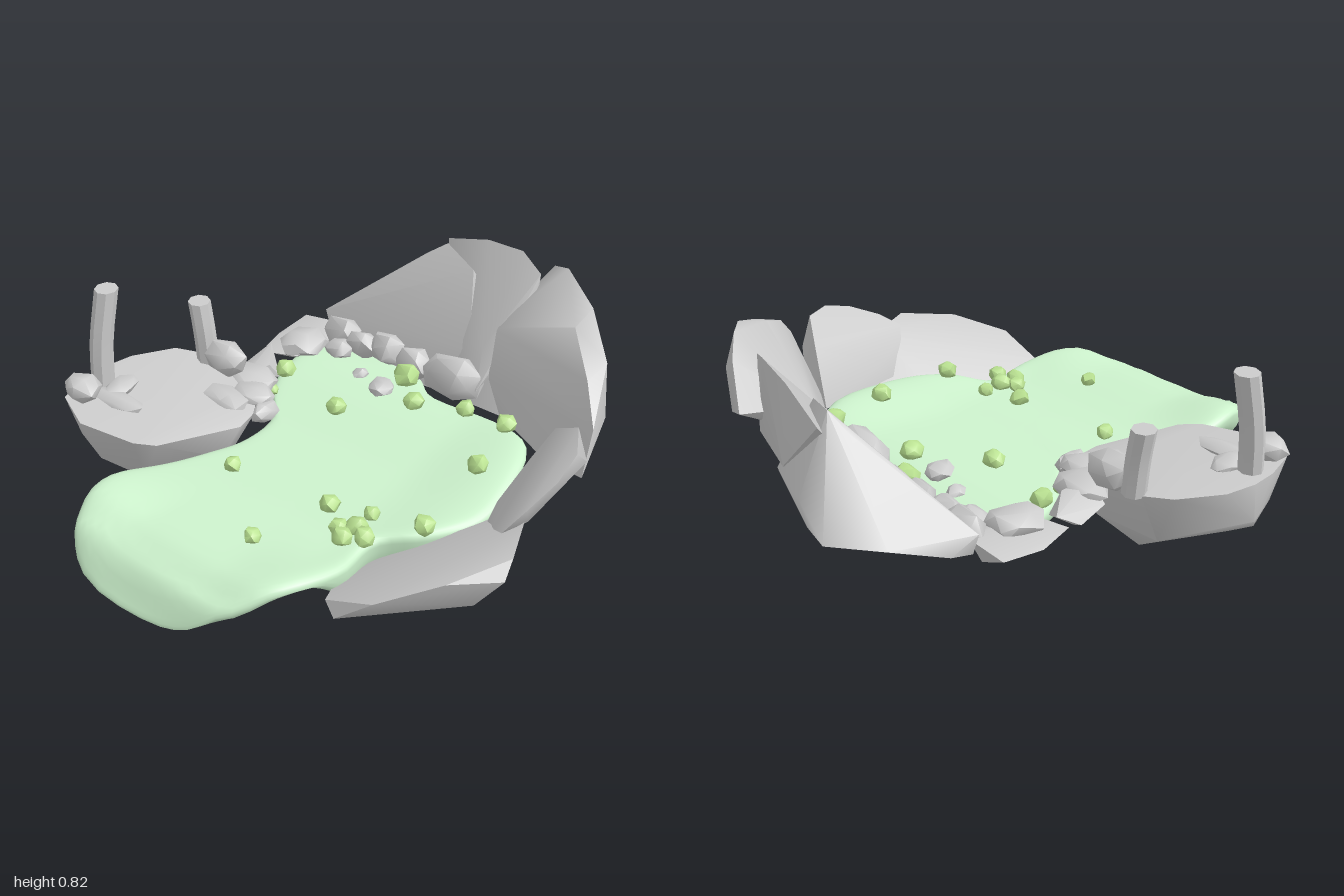
import * as THREE from 'three';
import { toCreasedNormals } from 'three/addons/utils/BufferGeometryUtils.js';
import { ConvexGeometry } from 'three/addons/geometries/ConvexGeometry.js';

const V = (p) => new THREE.Vector3(...p);
const stone = new THREE.MeshStandardMaterial({ color: 0xcccccc });
const slime = new THREE.MeshStandardMaterial({ color: 0xcdf2cd });
const bubble = new THREE.MeshStandardMaterial({ color: 0xbbe392 });

let seed = 7;
const rand = () => (seed = (seed * 16807) % 2147483647) / 2147483647;
const smooth = THREE.MathUtils.smoothstep;

// smooth interpolation through [position, value] pairs
function ramp(keys, t) {
  for (let i = 1; i < keys.length; i++) {
    const [a, va] = keys[i - 1], [b, vb] = keys[i];
    if (t <= b) return va + (vb - va) * smooth(t, a, b);
  }
  return keys[keys.length - 1][1];
}

function add(group, name, geometry, material) {
  const mesh = new THREE.Mesh(geometry, material);
  mesh.name = name;
  group.add(mesh);
  return mesh;
}

// large boulder: hull of its corner points
function boulder(group, name, corners) {
  add(group, name, toCreasedNormals(new ConvexGeometry(corners.map(V)), 0.85), stone);
}

// small rounded stone: hull of jittered sphere points
function pebble(group, name, [x, y, z], [sx, sy, sz], material = stone) {
  const pts = [];
  for (let i = 0; i < 18; i++) {
    const h = 1 - (2 * (i + 0.5)) / 18, a = i * 2.4 + rand() * 0.5;
    const r = Math.sqrt(1 - h * h), k = 0.96 + rand() * 0.2;
    pts.push(new THREE.Vector3(Math.cos(a) * r * sx * k, h * sy * k, Math.sin(a) * r * sz * k));
  }
  const mesh = add(group, name, toCreasedNormals(new ConvexGeometry(pts), 0.9), material);
  mesh.position.set(x, y, z);
}

// pool heights: top skin, shallow underside and the deep belly
const topKeys = [[-0.6, 0.28], [-0.3, 0.3], [0.1, 0.26], [0.4, 0.255], [0.78, 0.285], [0.9, 0.245], [1, 0.14]];
const shallowKeys = [[-0.5, 0.23], [-0.1, 0.17], [0.3, 0.17], [0.6, 0.21], [0.68, 0.19], [0.88, 0.08], [1, 0.08]];
const deepKeys = [[-0.55, 0.24], [-0.25, 0.16], [0.1, 0.045], [0.4, 0.07]];
function poolTop(x, z) {
  const tongue = smooth(z, 0.45, 0.75);
  return ramp(topKeys, z) + tongue * (0.04 * smooth(-x, 0.2, 0.5) + 0.03 * smooth(x, 0.1, 0.4))
    + 0.03 * smooth(x, 0.3, 0.6) * (1 - tongue);
}
function poolLow(x, z) {
  const belly = smooth(x + z, -0.3, -0.1) * smooth(x - z, -0.28, -0.08);
  const shallow = ramp(shallowKeys, z) + 0.09 * smooth(x, 0, 0.35) * smooth(z, 0.55, 0.75);
  const deep = ramp(deepKeys, z) + 0.08 * smooth(x, 0.45, 0.65);
  return Math.min(THREE.MathUtils.lerp(shallow, deep, belly), poolTop(x, z) - 0.05);
}

// closed, rounded-edge sheet swept from rings scaled about a centre
function poolGeometry() {
  const outline = new THREE.CatmullRomCurve3([
    [-0.45, -0.46], [-0.22, -0.57], [0, -0.54], [0.12, -0.45], [0.4, -0.45], [0.6, -0.36], [0.68, -0.05], [0.66, 0.1],
    [0.56, 0.25], [0.43, 0.36], [0.43, 0.55], [0.36, 0.75], [0.2, 0.92], [0, 0.99], [-0.38, 0.975],
    [-0.47, 0.88], [-0.51, 0.7], [-0.47, 0.53], [-0.38, 0.35], [-0.31, 0.2], [-0.31, 0.02],
    [-0.42, -0.12], [-0.47, -0.28]].map(([x, z]) => new THREE.Vector3(x, 0, z)), true);
  const N = 96, R = 18, pos = [], index = [];
  const ring = outline.getPoints(N), cx = 0.05, cz = 0.25;
  for (let r = 0; r <= 2 * R; r++) {
    const s = Math.sin((r / (2 * R)) * Math.PI), upper = r <= R;
    for (let i = 0; i < N; i++) {
      const x = cx + (ring[i].x - cx) * s, z = cz + (ring[i].z - cz) * s;
      const mid = poolTop(x, z) - 0.035;
      const round = Math.sqrt(Math.max(0, 1 - Math.pow(s, upper ? 24 : 8)));
      pos.push(x, mid + ((upper ? poolTop(x, z) : poolLow(x, z)) - mid) * round, z);
    }
  }
  for (let r = 0; r < 2 * R; r++) for (let i = 0; i < N; i++) {
    const a = r * N + i, b = r * N + ((i + 1) % N), c = a + N, d = b + N;
    index.push(a, b, c, b, d, c);
  }
  const g = new THREE.BufferGeometry();
  g.setAttribute('position', new THREE.Float32BufferAttribute(pos, 3));
  g.setIndex(index);
  g.computeVertexNormals();
  return g;
}

// slightly bent, faceted stem with flat ends
function stem(group, name, pts, radius) {
  const path = new THREE.CatmullRomCurve3(pts.map(V));
  const g = new THREE.CylinderGeometry(radius, radius, 1, 8, 6).toNonIndexed();
  const p = g.attributes.position;
  for (let i = 0; i < p.count; i++) {
    const c = path.getPoint(THREE.MathUtils.clamp(p.getY(i) + 0.5, 0, 1));
    p.setXYZ(i, c.x + p.getX(i), c.y, c.z + p.getZ(i));
  }
  add(group, name, toCreasedNormals(g, 0.4), stone);
}

export function createModel() {
  const model = new THREE.Group();
  model.name = 'slimePool';
  add(model, 'pool', poolGeometry(), slime);

  // large boulders around the rim
  boulder(model, 'platformRock', [
    [-0.93, 0.38, 0.3], [-0.9, 0.38, 0.18], [-0.8, 0.38, 0.03], [-0.7, 0.37, -0.02], [-0.42, 0.34, 0], [-0.32, 0.32, 0.1],
    [-0.31, 0.31, 0.2], [-0.45, 0.34, 0.5], [-0.52, 0.35, 0.55], [-0.74, 0.37, 0.6], [-0.9, 0.38, 0.53], [-0.93, 0.38, 0.4],
    [-0.93, 0.22, 0.32], [-0.88, 0.14, 0.4], [-0.78, 0.07, 0.4], [-0.55, 0, 0.18], [-0.5, 0.01, 0.25], [-0.62, 0.05, 0.42],
    [-0.4, 0.09, 0.22], [-0.72, 0.16, 0.06], [-0.45, 0.15, 0.05], [-0.7, 0.2, 0.56], [-0.34, 0.2, 0.28], [-0.87, 0.2, 0.5]]);
  boulder(model, 'frontSlab', [
    [0.92, 0.42, 0.3], [0.85, 0.41, 0.1], [0.8, 0.39, 0.5], [0.63, 0.32, 0.65], [0.45, 0.24, 0.66], [0.33, 0.11, 0.4],
    [0.64, 0.21, -0.04], [0.4, 0.12, 0.2], [0.93, 0.37, 0.36], [0.85, 0.25, 0.4], [0.6, 0.14, 0.45], [0.5, 0.2, 0.68],
    [0.33, 0.09, 0.3], [0.6, 0.11, 0.2], [0.77, 0.27, -0.07]]);
  boulder(model, 'sideRock', [
    [0.91, 0.58, -0.1], [0.85, 0.59, -0.22], [0.91, 0.54, 0.02], [0.87, 0.48, 0.14], [0.83, 0.42, 0.22], [0.78, 0.38, 0.18],
    [0.7, 0.35, 0.02], [0.64, 0.29, -0.32], [0.74, 0.5, -0.28], [0.69, 0.28, 0.06], [0.89, 0.45, -0.24], [0.86, 0.4, 0.1],
    [0.8, 0.32, -0.3]]);
  boulder(model, 'cornerRock', [
    [0.48, 0.82, -0.78], [0.39, 0.77, -0.85], [0.3, 0.62, -0.9], [0.27, 0.56, -0.62], [0.65, 0.77, -0.66], [0.8, 0.68, -0.5],
    [0.64, 0.74, -0.55], [0.78, 0.65, -0.4], [0.87, 0.54, -0.3], [0.88, 0.37, -0.24], [0.7, 0.33, -0.3], [0.42, 0.31, -0.46],
    [0.33, 0.4, -0.52], [0.58, 0.65, -0.77], [0.85, 0.5, -0.44], [0.45, 0.55, -0.84], [0.6, 0.34, -0.5]]);
  boulder(model, 'cornerWedge', [
    [0.5, 0.58, -0.68], [0.2, 0.55, -0.68], [0.47, 0.27, -0.5], [0.25, 0.26, -0.51], [0.55, 0.42, -0.6],
    [0.2, 0.3, -0.56], [0.35, 0.32, -0.62]]);
  boulder(model, 'backRock', [
    [-0.5, 0.38, -0.57], [-0.3, 0.53, -0.72], [-0.14, 0.68, -0.78], [-0.06, 0.74, -0.8], [0.1, 0.7, -0.74], [-0.27, 0.43, -1],
    [-0.18, 0.45, -0.99], [-0.42, 0.42, -0.87], [-0.1, 0.5, -0.96], [0.15, 0.47, -0.87], [-0.46, 0.28, -0.56],
    [0.1, 0.25, -0.52], [-0.1, 0.24, -0.51], [-0.49, 0.34, -0.68], [0.2, 0.45, -0.58]]);
  boulder(model, 'backRidgeRock', [
    [-0.1, 0.72, -0.87], [0.1, 0.79, -0.84], [0.27, 0.81, -0.81], [0.38, 0.77, -0.76], [0.38, 0.6, -0.7], [0.27, 0.5, -0.56],
    [0.3, 0.35, -0.48], [0.08, 0.45, -0.62], [0.1, 0.5, -0.88], [0.35, 0.5, -0.8], [0.12, 0.28, -0.53], [0.2, 0.3, -0.65]]);
  boulder(model, 'leftBackSlab', [
    [-0.62, 0.3, -0.4], [-0.6, 0.32, -0.56], [-0.45, 0.34, -0.57], [-0.4, 0.31, -0.45], [-0.44, 0.31, -0.3],
    [-0.59, 0.3, -0.25], [-0.5, 0.22, -0.4], [-0.48, 0.25, -0.54]]);
  boulder(model, 'leftSlab', [
    [-0.6, 0.29, -0.2], [-0.56, 0.34, -0.28], [-0.46, 0.34, -0.15], [-0.48, 0.35, -0.03], [-0.58, 0.3, -0.06],
    [-0.52, 0.23, -0.15], [-0.45, 0.26, -0.2]]);

  // small stones: [centre], [half sizes]
  [[[0.18, 0.36, -0.5], [0.13, 0.09, 0.08]], [[-0.02, 0.33, -0.52], [0.08, 0.07, 0.06]],
    [[-0.16, 0.34, -0.53], [0.08, 0.07, 0.06]], [[-0.27, 0.33, -0.51], [0.07, 0.06, 0.05]],
    [[-0.38, 0.33, -0.53], [0.09, 0.07, 0.06]], [[-0.47, 0.33, -0.38], [0.09, 0.05, 0.1]],
    [[-0.34, 0.31, -0.45], [0.06, 0.04, 0.05]], [[-0.47, 0.32, -0.05], [0.1, 0.05, 0.09]],
    [[-0.4, 0.33, 0.03], [0.09, 0.04, 0.07]], [[-0.46, 0.34, 0.12], [0.11, 0.03, 0.06]],
    [[-0.31, 0.3, 0.06], [0.04, 0.04, 0.07]], [[-0.04, 0.31, -0.33], [0.05, 0.03, 0.06]],
    [[-0.17, 0.3, -0.37], [0.03, 0.025, 0.035]], [[-0.56, 0.41, -0.01], [0.09, 0.07, 0.07]],
    [[-0.85, 0.42, 0.48], [0.08, 0.05, 0.065]], [[-0.73, 0.38, 0.42], [0.12, 0.02, 0.05]],
    [[-0.78, 0.38, 0.36], [0.05, 0.025, 0.09]]].forEach(([c, s], i) => pebble(model, 'stone' + (i + 1), c, s));

  // stems on the platform
  stem(model, 'tallStem', [[-0.86, 0.36, 0.37], [-0.86, 0.55, 0.35], [-0.845, 0.77, 0.305]], 0.045);
  stem(model, 'shortStem', [[-0.66, 0.36, -0.01], [-0.67, 0.5, -0.01], [-0.69, 0.62, -0.015]], 0.044);

  // bubbles on the pool: x, z, radius
  [[0, -0.45, 0.054], [0.12, -0.32, 0.042], [0.3, -0.41, 0.038], [0.49, -0.39, 0.04], [0.53, -0.13, 0.04],
    [0.54, 0.23, 0.04], [-0.11, -0.13, 0.04], [-0.42, -0.2, 0.04], [-0.39, -0.08, 0.026], [-0.22, 0.35, 0.034],
    [0.1, 0.61, 0.032], [0.2, 0.31, 0.038], [0.345, 0.26, 0.03], [0.345, 0.345, 0.04], [0.4, 0.38, 0.038],
    [0.335, 0.42, 0.038], [0.295, 0.385, 0.034]].forEach(([x, z, r], i) =>
    pebble(model, 'bubble' + (i + 1), [x, poolTop(x, z) + r * 0.5, z], [r, r * 0.9, r], bubble));

  return model;
}
